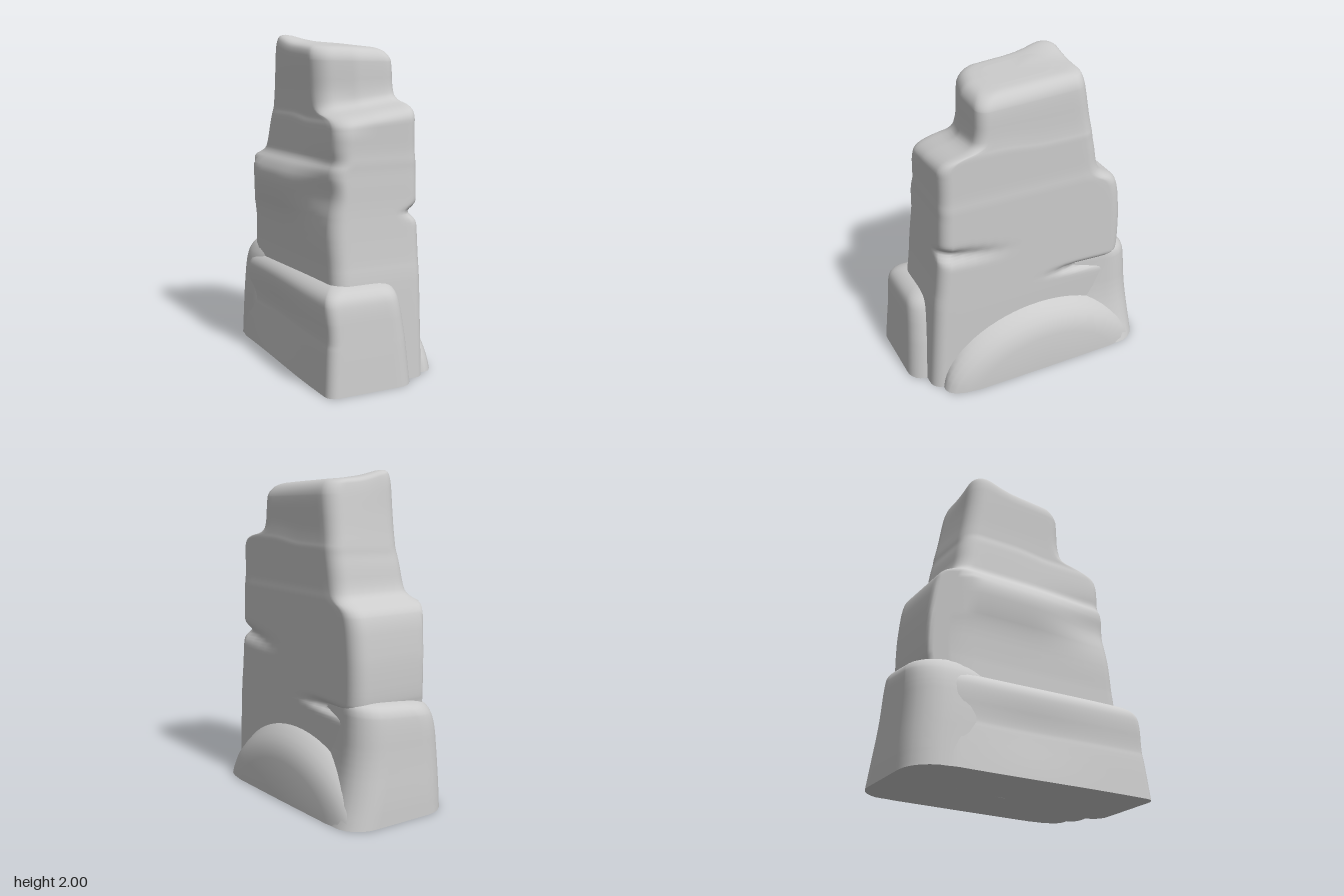
import * as THREE from 'three';
import { toCreasedNormals } from 'three/addons/utils/BufferGeometryUtils.js';

const material = new THREE.MeshStandardMaterial({ color: 0xcccccc });
const { lerp, smoothstep } = THREE.MathUtils;
const mix = (a, b, t) => a.map((v, i) => lerp(v, b[i], t));
const bell = (d, w) => Math.exp(-(d * d) / (w * w));

// Corner cutting rounds the hard steps between levels
function soften(levels) {
  const out = [levels[0]];
  for (let i = 0; i < levels.length - 1; i++) {
    out.push(mix(levels[i], levels[i + 1], 0.25), mix(levels[i], levels[i + 1], 0.75));
  }
  out.push(levels[levels.length - 1]);
  return out;
}

// Rounded rectangle, counter-clockwise from above; one radius per corner:
// right back, left back, left front, right front
function ring(x0, x1, z0, z1, radii) {
  const limit = Math.min(x1 - x0, z1 - z0) * 0.48;
  const corners = [[x1, z0, -1, 1], [x0, z0, 1, 1], [x0, z1, 1, -1], [x1, z1, -1, -1]];
  const arcs = corners.map(([x, z, sx, sz], c) => {
    const r = Math.min(radii[c], limit), pts = [];
    for (let k = 0; k <= 6; k++) {
      const a = (c + k / 6) * Math.PI / 2;
      pts.push([x + sx * r + Math.cos(a) * r, z + sz * r - Math.sin(a) * r]);
    }
    return pts;
  });
  return arcs.flatMap((arc, c) => {
    const next = arcs[(c + 1) % 4][0], edge = [];
    for (let k = 1; k < 14; k++) edge.push(mix(arc[6], next, k / 14));
    return [...arc, ...edge];
  });
}

// Stacks rings through levels [y, x0, x1, z0, z1], then applies a sculpting rule
function rock(name, levels, radii, sculpt) {
  const soft = soften(soften(levels)), rows = [soft[0]];
  for (let i = 1; i < soft.length; i++) {
    const n = Math.max(1, Math.ceil((soft[i][0] - soft[i - 1][0]) / 0.02));
    for (let k = 1; k <= n; k++) rows.push(mix(soft[i - 1], soft[i], k / n));
  }
  const pos = [], index = [], v = new THREE.Vector3();
  let count = 0;
  const add = (x, y, z) => {
    v.set(x, y, z);
    sculpt(v);
    pos.push(v.x, v.y, v.z);
  };
  for (const [y, x0, x1, z0, z1] of rows) {
    const pts = ring(x0, x1, z0, z1, radii);
    count = pts.length;
    pts.forEach(([x, z]) => add(x, y, z));
  }
  for (let i = 0; i < rows.length - 1; i++) {
    for (let j = 0; j < count; j++) {
      const a = i * count + j, b = i * count + (j + 1) % count;
      index.push(a, b, b + count, a, b + count, a + count);
    }
  }
  // Top cap shares the rim; bottom cap has its own rim for a sharp edge
  const [ty, tx0, tx1, tz0, tz1] = rows[rows.length - 1];
  const top = pos.length / 3, rim = top - count;
  add((tx0 + tx1) / 2, ty, (tz0 + tz1) / 2);
  const bottom = pos.length / 3;
  for (let j = 0; j < count * 3; j++) pos.push(pos[j]);
  const [by, bx0, bx1, bz0, bz1] = rows[0];
  add((bx0 + bx1) / 2, by, (bz0 + bz1) / 2);
  for (let j = 0; j < count; j++) {
    const k = (j + 1) % count;
    index.push(rim + j, rim + k, top, bottom + k, bottom + j, bottom + count);
  }
  const geo = new THREE.BufferGeometry();
  geo.setAttribute('position', new THREE.Float32BufferAttribute(pos, 3));
  geo.setIndex(index);
  geo.computeVertexNormals();
  const mesh = new THREE.Mesh(geo, material);
  mesh.name = name;
  return mesh;
}

function sculptTower(p) {
  const { x, y, z } = p;
  // Cracks on the right wall
  if (x > 0.1) {
    const front = smoothstep(z, 0.1, 0.58), back = smoothstep(-z, 0.1, 0.35);
    p.x -= 0.04 * front * bell(y - (0.88 + 0.16 * z), 0.04);
    p.x -= 0.045 * back * bell(y - (0.66 + 0.07 * z), 0.025);
    if (z > 0.5) p.z -= 0.03 * bell(y - 0.97, 0.03) * bell(x - 0.27, 0.05);
  }
  // The left bulge fades toward the front
  if (x < 0) p.x *= 1 - 0.25 * smoothstep(z, -0.05, 0.6) * bell(y - 1.1, 0.16);
  // Left front edge swept back on the upper blocks
  if (x < 0 && z > 0) p.z += 0.28 * x * smoothstep(y, 1.4, 1.7) * smoothstep(z, 0, 0.3);
  // Left back corner of the middle block cut off at a slant
  const cut = Math.max(0, -0.867 * p.x - 0.5 * p.z - 0.515);
  p.x += 0.867 * cut;
  p.z += 0.5 * cut;
  // Tilted front ledge and sloping summit with a peak at the back left
  p.y += 0.14 * x * bell(y - 1.57, 0.12) * (0.3 + 0.7 * smoothstep(z, -0.1, 0.2));
  const summit = smoothstep(y, 1.75, 1.93);
  p.y += summit * (-0.012 - 0.06 * z - 0.03 * x + 0.045 * bell(x + 0.2, 0.15) * bell(z + 0.33, 0.15));
}

function sculptFrontLedge(p) {
  if (p.x > -0.25) return;
  // Left face drifts inward toward the back, with a shallow hollow
  p.x += 0.035 * smoothstep(-p.z, -0.6, 0.6) + 0.015 * bell(p.z + 0.05, 0.35) * bell(p.y - 0.28, 0.18);
}

function sculptBackBlock(p) {
  // Top falls toward the left; both sides sink into the walls away from the back
  p.y *= 1 + 0.13 * p.x;
  if (p.x > 0) p.x -= 0.07 * smoothstep(p.z, -0.65, -0.1);
  else p.x += 0.09 * smoothstep(p.z, -0.5, -0.05);
}

export function createModel() {
  const group = new THREE.Group();
  group.name = 'rockFormation';

  // Main stepped tower
  group.add(rock('tower', [
    [0, -0.30, 0.275, -0.70, 0.68],
    [0.55, -0.30, 0.28, -0.66, 0.64],
    [0.64, -0.30, 0.28, -0.64, 0.63],
    [0.70, -0.30, 0.28, -0.655, 0.62],
    [0.90, -0.31, 0.28, -0.655, 0.60],
    [1.02, -0.34, 0.28, -0.645, 0.59],
    [1.14, -0.355, 0.28, -0.63, 0.585],
    [1.22, -0.32, 0.28, -0.60, 0.58],
    [1.27, -0.265, 0.28, -0.50, 0.58],
    [1.33, -0.26, 0.275, -0.47, 0.575],
    [1.45, -0.25, 0.275, -0.45, 0.575],
    [1.51, -0.245, 0.275, -0.435, 0.575],
    [1.55, -0.235, 0.275, -0.43, 0.52],
    [1.58, -0.235, 0.27, -0.425, 0.36],
    [1.66, -0.235, 0.265, -0.41, 0.335],
    [1.82, -0.24, 0.262, -0.385, 0.33],
    [1.90, -0.24, 0.255, -0.37, 0.325],
    [1.95, -0.215, 0.21, -0.355, 0.28],
    [1.955, -0.12, 0.12, -0.22, 0.18],
  ], [0.09, 0.10, 0.09, 0.07], sculptTower));

  // Low ledge wrapping the front and left side
  group.add(rock('frontLedge', [
    [0, -0.41, 0.15, -0.68, 0.775],
    [0.25, -0.39, 0.13, -0.66, 0.755],
    [0.30, -0.38, 0.125, -0.66, 0.75],
    [0.48, -0.395, 0.10, -0.64, 0.735],
    [0.55, -0.375, 0.08, -0.62, 0.71],
    [0.595, -0.30, 0.05, -0.58, 0.63],
    [0.61, -0.20, 0.0, -0.50, 0.50],
  ], [0.05, 0.16, 0.06, 0.10], sculptFrontLedge));

  // Back block below the rear crack
  group.add(rock('backBlock', [
    [0, -0.365, 0.40, -0.775, 0],
    [0.15, -0.36, 0.35, -0.77, 0],
    [0.35, -0.355, 0.305, -0.755, 0],
    [0.56, -0.34, 0.29, -0.745, 0],
    [0.65, -0.30, 0.285, -0.73, 0],
    [0.69, -0.25, 0.27, -0.66, -0.05],
    [0.69, -0.15, 0.15, -0.52, -0.2],
  ], [0.17, 0.20, 0.05, 0.05], sculptBackBlock));

  // Arched boulder against the right side, flattened at the ground
  const profile = [[1, 0], [0.97, 0.03], [0.92, 0.06], [0.86, 0.09], [0.78, 0.118], [0.68, 0.14], [0.55, 0.153], [0, 0.155]]
    .map(([r, h]) => new THREE.Vector2(r, h));
  const arch = new THREE.LatheGeometry(profile, 64).rotateZ(-Math.PI / 2).scale(1, 0.46, 0.66);
  const p = arch.attributes.position;
  for (let i = 0; i < p.count; i++) {
    p.setY(i, Math.max(0, p.getY(i)));
    // Outer face spreads toward the ground
    p.setZ(i, p.getZ(i) * (1 + 2 * p.getX(i) * (1 - p.getY(i) / 0.46)));
  }
  const boulder = new THREE.Mesh(toCreasedNormals(arch, 0.8), material);
  boulder.name = 'archedBoulder';
  boulder.position.set(0.25, 0, -0.06);
  group.add(boulder);

  return group;
}
